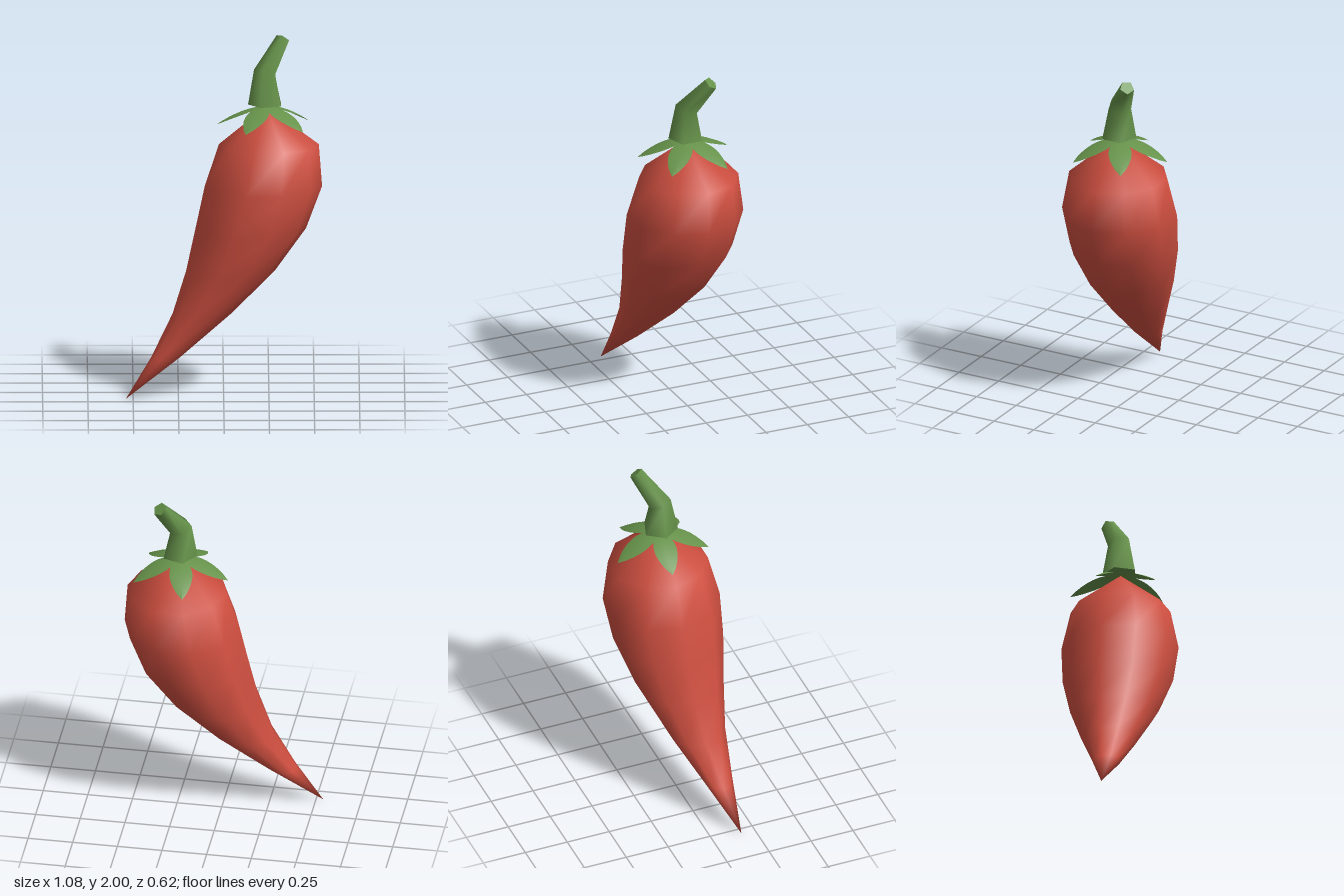
import * as THREE from 'three';
import { mergeVertices } from 'three/addons/utils/BufferGeometryUtils.js';

const red = new THREE.MeshStandardMaterial({ color: 0xcf4f40 });
red.name = 'pepper red';
const green = new THREE.MeshStandardMaterial({ color: 0x66924a });
green.name = 'stem green';
const leafGreen = green.clone();
leafGreen.side = THREE.DoubleSide;

// Ring of n points around a centre, tilted so its axis follows the given direction
function ring(n, c, r, axis = [0, 1, 0]) {
  const q = new THREE.Quaternion().setFromUnitVectors(
    new THREE.Vector3(0, 1, 0), new THREE.Vector3(...axis).normalize());
  return Array.from({ length: n }, (_, i) => {
    const a = (i + (n === 5 ? 0.5 : 0)) / n * Math.PI * 2;
    return new THREE.Vector3(Math.cos(a) * r, 0, Math.sin(a) * r)
      .applyQuaternion(q).add(new THREE.Vector3(...c));
  });
}

// Smooth skin through rings ordered from bottom to top
function loft(rings) {
  const n = rings[0].length, pos = [], idx = [];
  rings.forEach(r => r.forEach(p => pos.push(p.x, p.y, p.z)));
  for (let k = 0; k < rings.length - 1; k++) {
    const pointBelow = rings[k][0].distanceTo(rings[k][1]) < 1e-5;
    const pointAbove = rings[k + 1][0].distanceTo(rings[k + 1][1]) < 1e-5;
    for (let i = 0; i < n; i++) {
      const a = k * n + i, b = k * n + (i + 1) % n;
      if (!pointBelow) idx.push(a, a + n, b);
      if (!pointAbove) idx.push(b, a + n, b + n);
    }
  }
  let g = new THREE.BufferGeometry();
  g.setAttribute('position', new THREE.Float32BufferAttribute(pos, 3));
  g.setIndex(idx);
  g = mergeVertices(g, 1e-5);
  g.computeVertexNormals();
  return g;
}

// Flat end cap for a ring
function cap(points, up) {
  const g = new THREE.BufferGeometry().setFromPoints(points);
  const idx = [];
  for (let i = 1; i < points.length - 1; i++) idx.push(0, ...(up ? [i + 1, i] : [i, i + 1]));
  g.setIndex(idx);
  g.computeVertexNormals();
  return g;
}

// Pointed leaf along +x, arching down and drooping at its edges
function leafGeometry() {
  const g = new THREE.PlaneGeometry(1, 1, 8, 2);
  const p = g.attributes.position;
  for (let i = 0; i < p.count; i++) {
    const t = p.getX(i) + 0.5, side = p.getY(i) * 2;
    const w = 0.064 * Math.pow(Math.sin(Math.PI * Math.pow(t, 0.9)), 0.8);
    const y = 0.004 - 0.03 * t - 0.084 * t * t - 0.012 * Math.abs(side) * (w / 0.064);
    p.setXYZ(i, 0.275 * t, y, -side * w);
  }
  g.computeVertexNormals();
  return g;
}

export function createModel() {
  const group = new THREE.Group();
  const add = (name, geometry, material, parent = group) => {
    const m = new THREE.Mesh(geometry, material);
    m.name = name;
    parent.add(m);
    return m;
  };

  // Curved body: x, y, z, radius of each horizontal ring
  const body = [
    [-0.54, 0.01, 0.17, 0],
    [-0.32, 0.235, 0.122, 0.08],
    [-0.12, 0.47, 0.07, 0.162],
    [0.038, 0.705, 0.036, 0.245],
    [0.15, 0.94, 0.015, 0.305],
    [0.22, 1.175, 0.002, 0.324],
    [0.25, 1.41, -0.006, 0.276],
    [0.235, 1.625, 0, 0],
  ];
  add('body', loft(body.map(([x, y, z, r]) => ring(10, [x, y, z], r))), red);

  // Five leaves around the top
  const leaves = new THREE.Group();
  leaves.name = 'leaves';
  leaves.position.set(0.233, 1.624, -0.006);
  group.add(leaves);
  const leaf = leafGeometry();
  for (let i = 0; i < 5; i++) {
    add('leaf', leaf, leafGreen, leaves).rotation.y = -THREE.MathUtils.degToRad(42 + i * 72);
  }

  // Five-sided stem, bent towards the back left
  const stem = new THREE.Group();
  stem.name = 'stem';
  group.add(stem);
  const rings = [
    ring(5, [0.235, 1.635, 0], 0.1),
    ring(5, [0.232, 1.815, -0.004], 0.066, [0.24, 0.94, -0.25]),
    ring(5, [0.33, 1.984, -0.106], 0.041, [0.44, 0.75, -0.46]),
  ];
  add('stemSides', loft(rings), green, stem);
  add('stemBase', cap(rings[0], false), green, stem);
  add('stemEnd', cap(rings[2], true), green, stem);

  return group;
}
